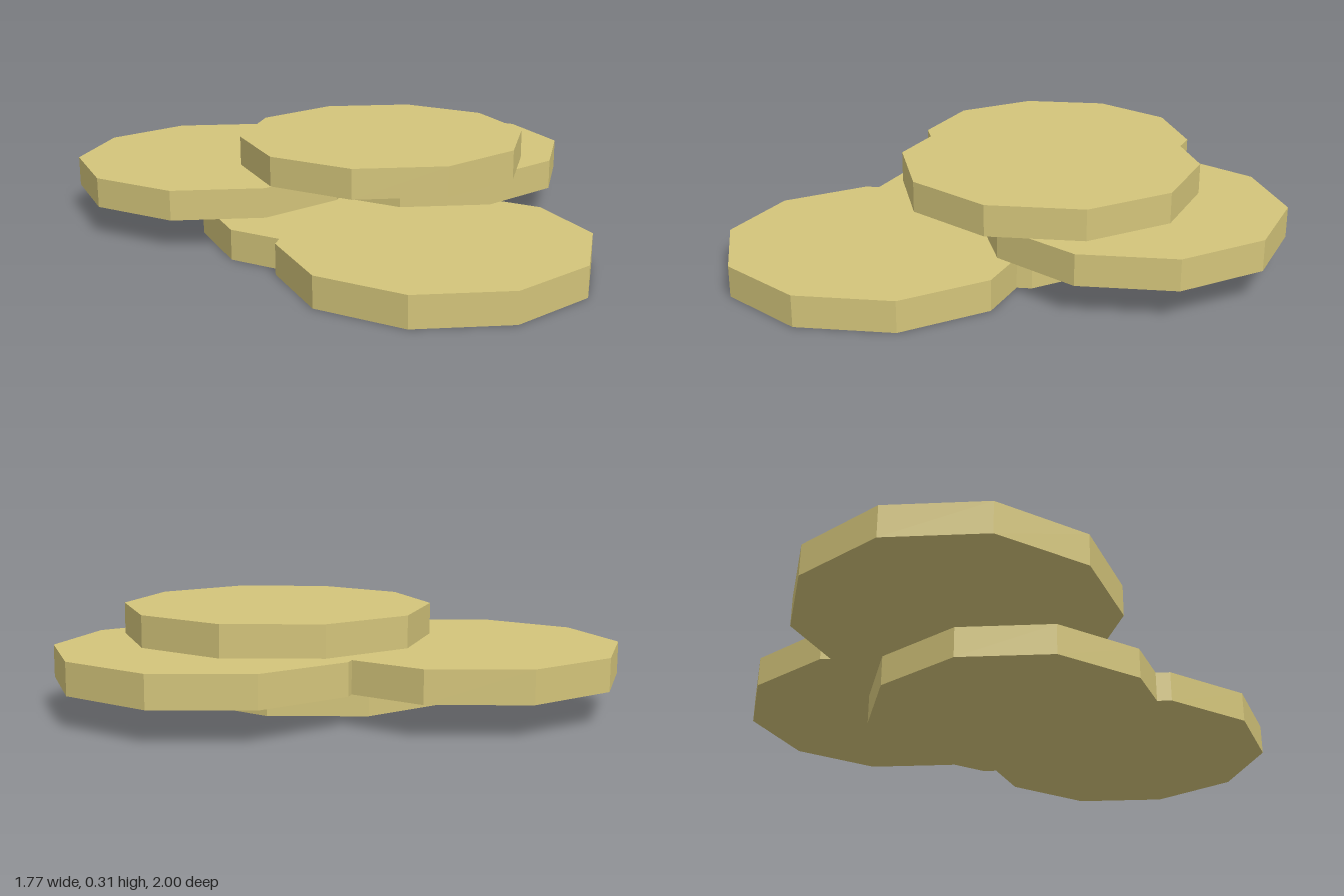
import * as THREE from 'three';

export function createModel() {
  const group = new THREE.Group();
  group.name = 'coinPile';
  const gold = new THREE.MeshStandardMaterial({ color: 0xd3c47a });
  gold.name = 'pale gold';
  gold.flatShading = true;

  // One ten-sided coin, shared by the whole pile
  const radius = 0.521, height = 0.105;
  const coinGeometry = new THREE.CylinderGeometry(radius, radius, height, 10);

  // [name, x, layer, z]
  const coins = [
    ['bottomFrontCoin', 0.04, 0, 0.479],
    ['bottomBackCoin', -0.045, 0, -0.04],
    ['middleRightCoin', -0.39, 1, -0.479],
    ['middleLeftCoin', 0.39, 1, -0.305],
    ['topCoin', 0.13, 2, -0.132],
  ];
  for (const [name, x, layer, z] of coins) {
    const coin = new THREE.Mesh(coinGeometry, gold);
    coin.name = name;
    coin.position.set(x, (layer + 0.5) * height, z);
    group.add(coin);
  }
  return group;
}
